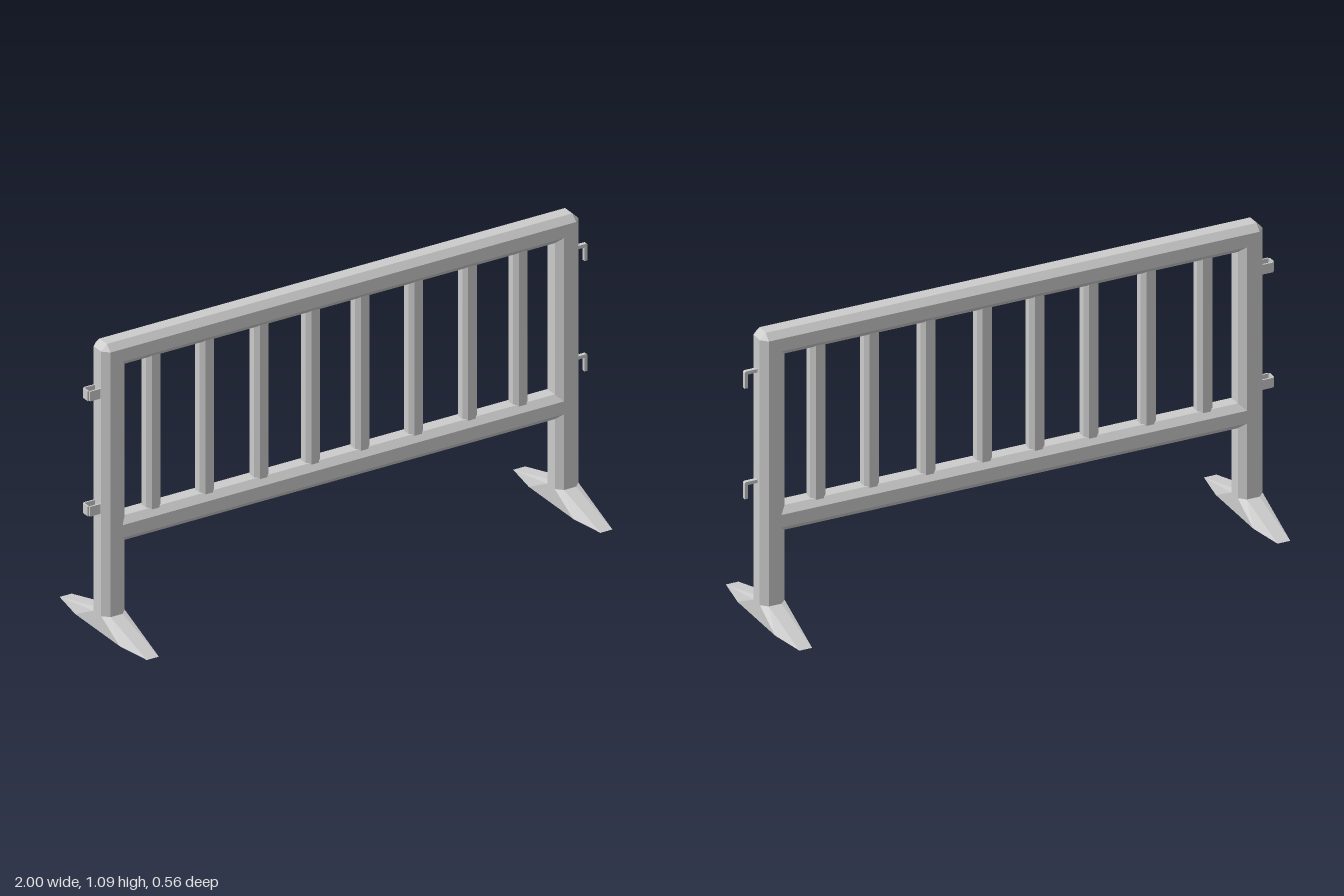
import * as THREE from 'three';

const material = new THREE.MeshStandardMaterial({ color: 0xcccccc, flatShading: true });
const HALF = 0.047;   // half width of the frame tube
const FLAT = 0.024;   // half width of each flat on the tube
const POST_X = 0.905;

// Square outline with bevelled corners
function octagon(h, c) {
  return [[h, -c], [h, c], [c, h], [-c, h], [-h, c], [-h, -c], [-c, -h], [c, -h]];
}

function addMesh(parent, name, geometry, x = 0, y = 0, z = 0) {
  const mesh = new THREE.Mesh(geometry, material);
  mesh.name = name;
  mesh.position.set(x, y, z);
  parent.add(mesh);
  return mesh;
}

// Bevelled tube of a given length, centred and running along z
function tube(h, c, length) {
  const shape = new THREE.Shape(octagon(h, c).map(([x, y]) => new THREE.Vector2(x, y)));
  return new THREE.ExtrudeGeometry(shape, { depth: length, bevelEnabled: false })
    .translate(0, 0, -length / 2);
}

// Skin stacked rings of equal point count, with both ends closed
function loft(rings) {
  const positions = [];
  const tri = (a, b, c) => {
    if (new THREE.Triangle(a, b, c).getArea() > 1e-9) {
      for (const p of [a, b, c]) positions.push(p.x, p.y, p.z);
    }
  };
  const n = rings[0].length;
  for (let r = 0; r < rings.length - 1; r++) {
    const low = rings[r], high = rings[r + 1];
    for (let i = 0; i < n; i++) {
      const j = (i + 1) % n;
      tri(low[i], high[i], low[j]);
      tri(low[j], high[i], high[j]);
    }
  }
  const bottom = rings[0], top = rings[rings.length - 1];
  for (let i = 1; i < n - 1; i++) {
    tri(bottom[0], bottom[i], bottom[i + 1]);
    tri(top[0], top[i + 1], top[i]);
  }
  const geometry = new THREE.BufferGeometry();
  geometry.setAttribute('position', new THREE.Float32BufferAttribute(positions, 3));
  geometry.computeVertexNormals();
  return geometry;
}

// Post with its splayed foot and bevelled top in one skin
function postGeometry() {
  const ring = (y, h, zScale) =>
    octagon(h, FLAT).map(([x, z]) => new THREE.Vector3(x, y, z * zScale));
  return loft([
    ring(0, HALF, 5.95),
    ring(0.063, HALF, 1),
    ring(1.067, HALF, 1),
    ring(1.09, FLAT, 1),
  ]);
}

// Square strap that receives the hook of a neighbouring barrier
function addLoop(parent, y) {
  const loop = new THREE.Group();
  loop.name = 'connectorLoop';
  const height = 0.037, wall = 0.006;
  for (const side of [-1, 1]) {
    addMesh(loop, 'loopSide', new THREE.BoxGeometry(0.048, height, wall), -0.97, y, side * 0.018);
  }
  addMesh(loop, 'loopEnd', new THREE.BoxGeometry(wall, height, 0.03), -0.997, y, 0);
  parent.add(loop);
}

// Thin bent hook pointing down
function addHook(parent, topY) {
  const t = 0.0125, x0 = 0.945, drop = 0.064;
  const shape = new THREE.Shape([
    [x0, topY - t], [1 - t, topY - t], [1 - t, topY - drop], [1, topY - drop],
    [1, topY - 0.004], [0.996, topY], [x0, topY],
  ].map(([x, y]) => new THREE.Vector2(x, y)));
  const geometry = new THREE.ExtrudeGeometry(shape, { depth: 0.014, bevelEnabled: false });
  addMesh(parent, 'connectorHook', geometry, 0, 0, -0.007);
}

export function createModel() {
  const model = new THREE.Group();
  model.name = 'barrier';

  // Posts and feet
  const post = postGeometry();
  addMesh(model, 'rightPost', post, -POST_X);
  addMesh(model, 'leftPost', post, POST_X);

  // Top and lower rails
  const rail = tube(HALF, FLAT, 2 * (POST_X - FLAT)).rotateY(Math.PI / 2);
  addMesh(model, 'topRail', rail, 0, 1.043);
  addMesh(model, 'lowerRail', rail, 0, 0.375);

  // Upright bars between the rails
  const bar = tube(0.029, 0.0145, 0.62).rotateX(Math.PI / 2);
  for (const x of [-0.738, -0.524, -0.307, -0.102, 0.096, 0.31, 0.524, 0.727]) {
    addMesh(model, 'bar', bar, x, 0.71);
  }

  // Connectors on both ends
  for (const y of [0.906, 0.469]) addLoop(model, y);
  for (const y of [0.95, 0.531]) addHook(model, y);

  return model;
}
